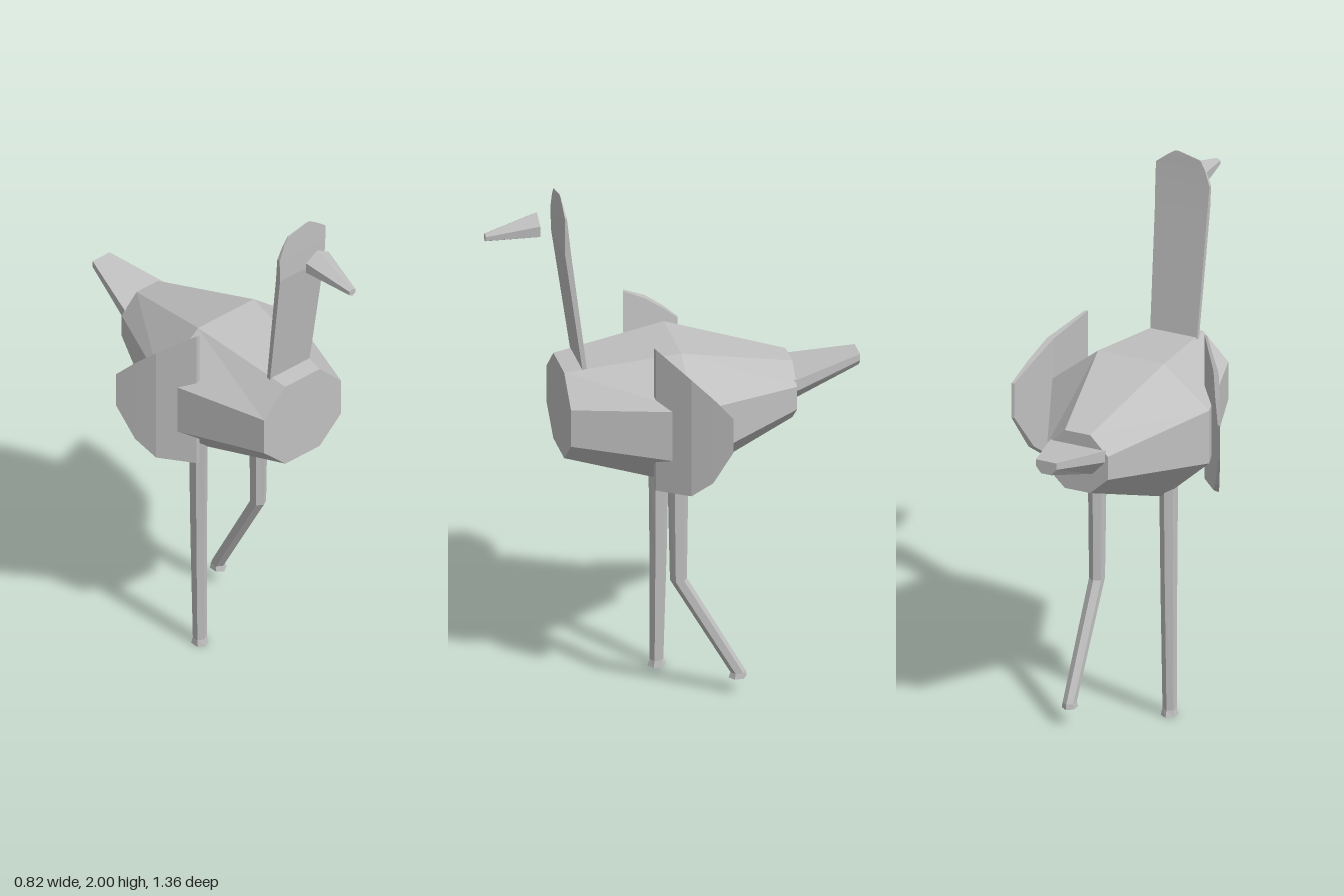
import * as THREE from 'three';

const grey = new THREE.MeshStandardMaterial({ color: 0xc0c0c0 });
grey.name = 'plain grey';
grey.flatShading = true;

// Closed faceted solid through a list of equal-sized rings of [x, y, z] points
function loft(name, rings) {
  const tris = [];
  const n = rings[0].length;
  for (let r = 0; r < rings.length - 1; r++) {
    for (let i = 0; i < n; i++) {
      const j = (i + 1) % n;
      const a = rings[r][i], b = rings[r][j], c = rings[r + 1][j], d = rings[r + 1][i];
      tris.push([a, b, c], [a, c, d]);
    }
  }
  const cap = (ring, flip) => {
    for (let i = 1; i < n - 1; i++) {
      tris.push(flip ? [ring[0], ring[i + 1], ring[i]] : [ring[0], ring[i], ring[i + 1]]);
    }
  };
  cap(rings[0], true);
  cap(rings[rings.length - 1], false);

  // Turn the faces outward whichever way the rings run
  const v = (p) => new THREE.Vector3(...p);
  const volume = tris.reduce((s, [a, b, c]) => s + v(a).dot(v(b).cross(v(c))), 0);
  if (volume < 0) tris.forEach((t) => t.reverse());

  const geometry = new THREE.BufferGeometry();
  geometry.setAttribute('position', new THREE.Float32BufferAttribute(tris.flat(2), 3));
  geometry.computeVertexNormals();
  const mesh = new THREE.Mesh(geometry, grey);
  mesh.name = name;
  return mesh;
}

// Mirror-symmetric ring from its +x half, listed top to bottom
function mirrored(half, z) {
  const right = half.map(([x, y]) => [x, y, z]);
  const left = half.map(([x, y]) => [-x, y, z]).reverse();
  return [...right, ...left];
}

// Eight-sided body: half widths and heights at each station
function makeBody() {
  const stations = [
    // z, side x, flat x, top, upper side, lower side, bottom
    [0.41, 0.18, 0.08, 1.32, 1.22, 1.075, 0.98],
    [-0.005, 0.31, 0.13, 1.37, 1.225, 1.02, 0.855],
    [-0.43, 0.12, 0.05, 1.25, 1.18, 1.09, 1.025],
  ];
  return loft('body', stations.map(([z, side, flat, top, up, low, bottom]) =>
    mirrored([[flat, top], [side, up], [side, low], [flat, bottom]], z)));
}

// Tapered flat tail
function makeTail() {
  return loft('tail', [
    mirrored([[0.11, 1.2], [0.11, 1.155], [0.06, 1.1]], -0.425),
    mirrored([[0.04, 1.24], [0.04, 1.215], [0.02, 1.19]], -0.68),
  ]);
}

// Thin neck that widens into a flat angular head
function makeNeck() {
  const rows = [
    // y, min x, max x, front z, back z
    [1.28, -0.095, 0.088, 0.339, 0.323],
    [1.8, -0.107, 0.1, 0.412, 0.39],
    [1.89, -0.11, 0.104, 0.413, 0.4],
    [1.945, -0.09, 0.104, 0.413, 0.406],
    [1.98, -0.07, 0.06, 0.413, 0.409],
    [2.0, 0.015, 0.03, 0.413, 0.411],
  ];
  return loft('neckAndHead', rows.map(([y, x0, x1, front, back]) =>
    [[x0, y, front], [x1, y, front], [x1, y, back], [x0, y, back]]));
}

// Six-sided beak
function makeBeak() {
  const ring = (x, top, up, low, bottom, z) =>
    [[0, top, z], [x, up, z], [x, low, z], [0, bottom, z], [-x, low, z], [-x, up, z]];
  return loft('beak', [
    ring(0.053, 1.93, 1.898, 1.857, 1.83, 0.49),
    ring(0.014, 1.867, 1.86, 1.845, 1.837, 0.68),
  ]);
}

// Thin folded wing standing off the body
function makeWing(name, side) {
  const stations = [
    // outer x, z, bottom y, top y, thickness
    [0.242, 0.115, 0.895, 1.455, 0.012],
    [0.34, 0.01, 0.908, 1.37, 0.024],
    [0.378, -0.06, 0.97, 1.305, 0.02],
    [0.412, -0.125, 1.1, 1.235, 0.01],
  ];
  return loft(name, stations.map(([x, z, y0, y1, t]) => {
    const outer = side * x, inner = side * (x - t);
    return [[outer, y0, z], [outer, y1, z], [inner, y1, z + t * 0.3], [inner, y0, z + t * 0.3]];
  }));
}

// Six-sided leg through [y, z, half width, half depth] rows
function makeLeg(name, x, rows) {
  return loft(name, rows.map(([y, z, w, d]) =>
    Array.from({ length: 6 }, (_, i) => {
      const a = (i * Math.PI) / 3;
      return [x + (w / 0.866) * Math.sin(a) * 1, y, z + d * Math.cos(a)];
    })));
}

export function createModel() {
  const model = new THREE.Group();
  model.name = 'longNeckedBird';
  model.add(
    makeBody(), makeTail(), makeNeck(), makeBeak(),
    makeWing('leftWing', 1), makeWing('rightWing', -1),
    // Standing leg with a small flared foot
    makeLeg('rightLeg', -0.142, [
      [0.95, 0.01, 0.028, 0.039],
      [0.48, 0.012, 0.025, 0.032],
      [0.025, 0.018, 0.022, 0.025],
      [0, 0.018, 0.026, 0.034],
    ]),
    // Raised leg bent back at the knee
    makeLeg('leftLeg', 0.14, [
      [0.95, 0.01, 0.028, 0.039],
      [0.48, 0.008, 0.024, 0.031],
      [0.085, -0.21, 0.021, 0.028],
      [0.065, -0.208, 0.024, 0.033],
    ]),
  );
  return model;
}
